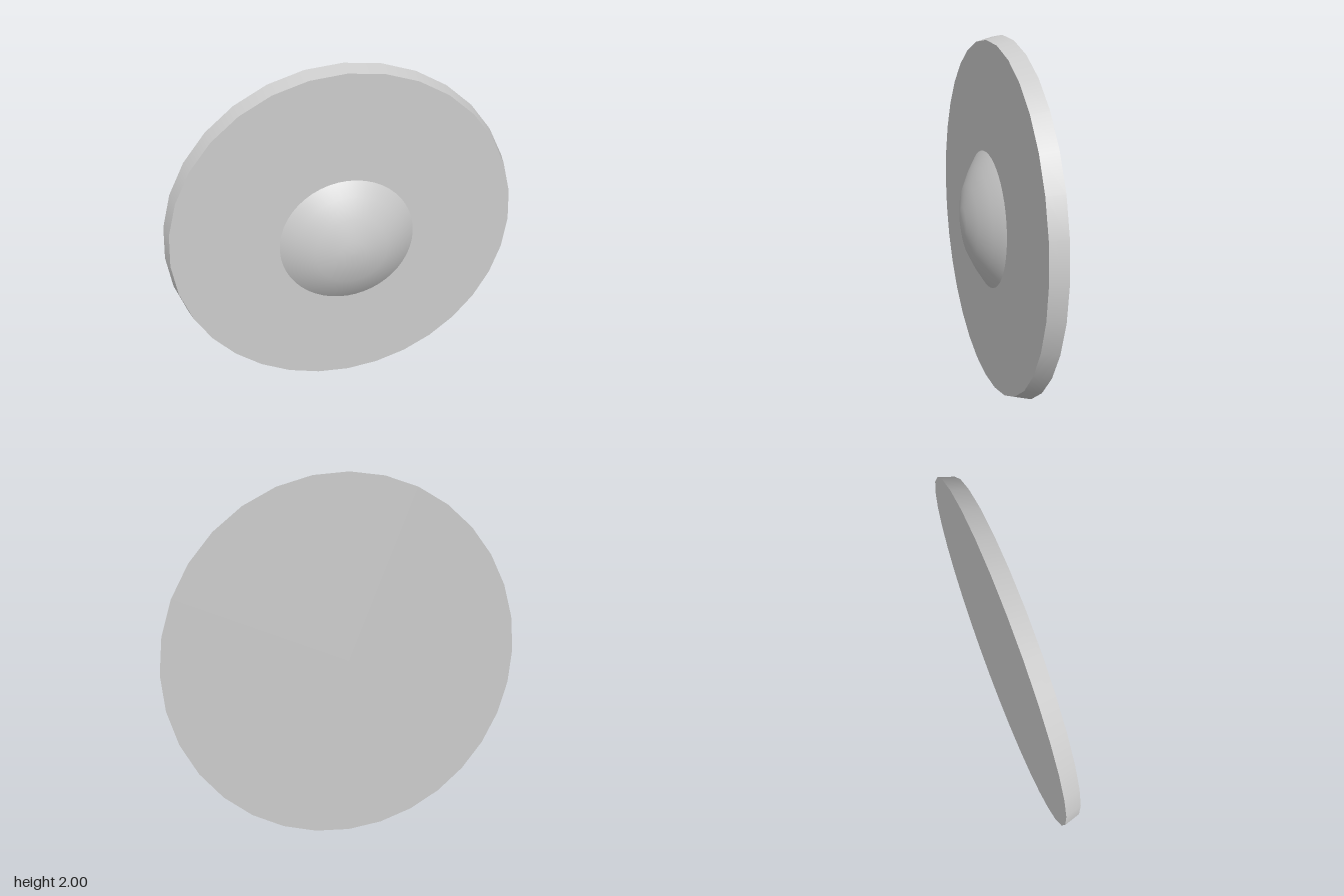
import * as THREE from 'three';

export function createModel() {
  const group = new THREE.Group();
  const material = new THREE.MeshStandardMaterial({ color: 0xcccccc });

  const add = (name, geometry, z) => {
    geometry.rotateX(Math.PI / 2); // turn the axis to face the front
    const mesh = new THREE.Mesh(geometry, material);
    mesh.name = name;
    mesh.position.set(0, 1, z);
    group.add(mesh);
  };

  // Round plate, slightly narrower at the front
  add('plate', new THREE.CylinderGeometry(0.975, 1, 0.087, 32), -0.0665);

  // Shallow dome, sunk a little into the plate
  const profile = [
    [0.41, -0.045], [0.385, -0.023], [0.305, 0.027],
    [0.205, 0.077], [0.077, 0.109], [0, 0.11],
  ].map(([r, h]) => new THREE.Vector2(r, h));
  add('centreBoss', new THREE.LatheGeometry(profile, 48), 0);

  return group;
}
